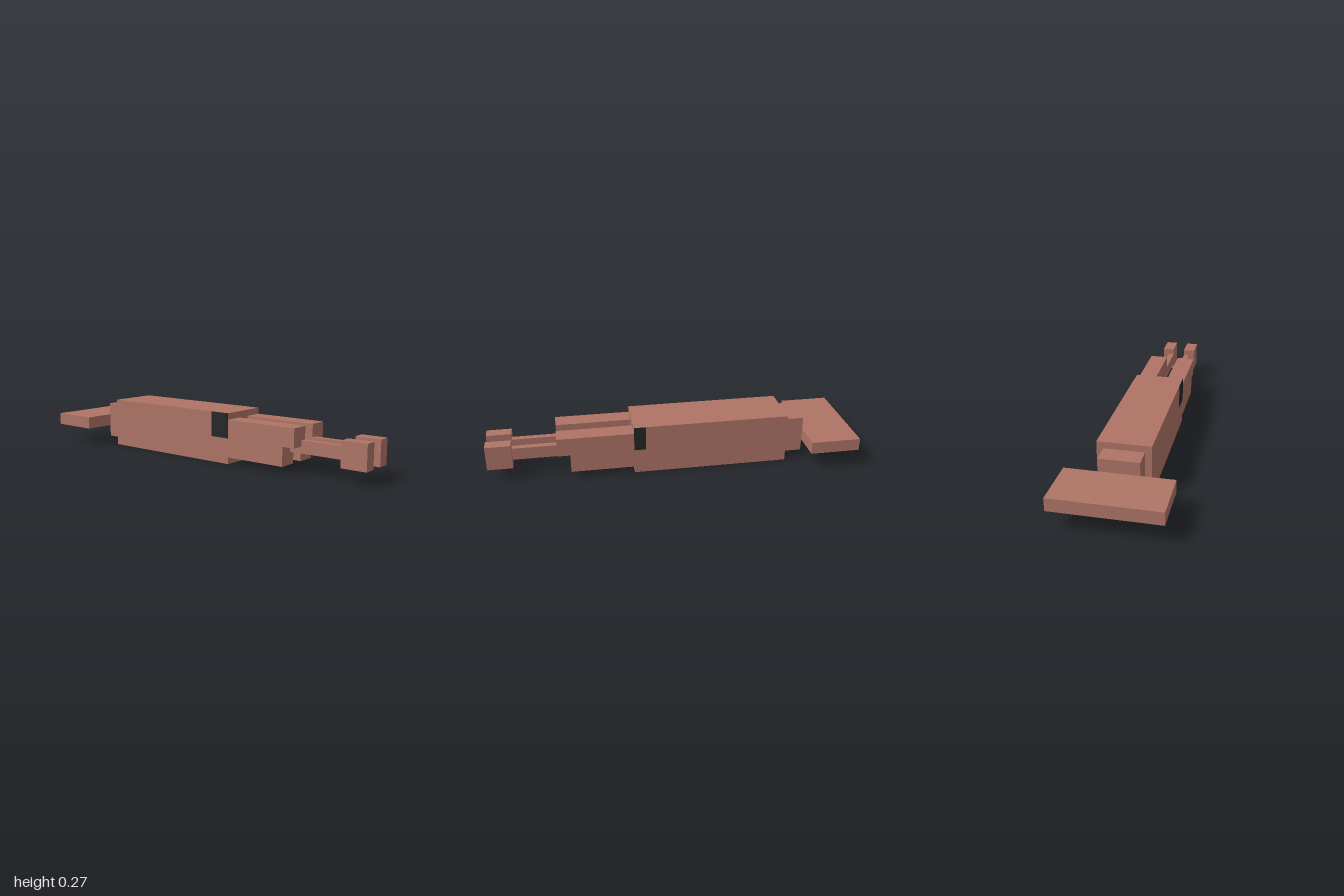
import * as THREE from 'three';

const shell = new THREE.MeshStandardMaterial({ name: 'shell', color: 0xae7466 });
const belly = new THREE.MeshStandardMaterial({ name: 'belly', color: 0x968a7a });
const eye = new THREE.MeshStandardMaterial({ name: 'eye', color: 0x232627 });

// shell box with a paler underside (face order: +x, -x, +y, -y, +z, -z)
const shellWithBelly = [shell, shell, shell, belly, shell, shell];

// Box given by its [min, max] range on each axis
function box(name, [x0, x1], [y0, y1], [z0, z1], material) {
  const geometry = new THREE.BoxGeometry(x1 - x0, y1 - y0, z1 - z0);
  const mesh = new THREE.Mesh(geometry, material);
  mesh.position.set((x0 + x1) / 2, (y0 + y1) / 2, (z0 + z1) / 2);
  mesh.name = name;
  return mesh;
}

export function createModel() {
  const model = new THREE.Group();
  model.name = 'crustacean';

  // Body, tail joint and tail fan
  model.add(
    box('body', [-0.135, 0.135], [0, 0.271], [-0.628, 0.218], shellWithBelly),
    box('tailJoint', [-0.101, 0.101], [0.036, 0.237], [-0.73, -0.628], shellWithBelly),
    box('tailFan', [-0.27, 0.27], [0.102, 0.169], [-1, -0.73], shellWithBelly),
    box('mouthPatch', [-0.1, 0.1], [-0.001, 0.001], [0.085, 0.19], shell),
  );

  // Eye plates on the sides of the head; the right one is longer
  model.add(
    box('rightEye', [-0.137, -0.134], [0.138, 0.271], [0.108, 0.218], eye),
    box('leftEye', [0.134, 0.137], [0.138, 0.271], [0.155, 0.218], eye),
  );

  // Front limbs: stepped claw arm, thin rod and end block on each side
  for (const [side, s] of [['left', 1], ['right', -1]]) {
    const limb = new THREE.Group();
    limb.name = side + 'Limb';
    const span = (a, b) => (s > 0 ? [a, b] : [-b, -a]);
    limb.add(
      box('upperArm', span(0.035, 0.135), [0.137, 0.237], [0.218, 0.627], shell),
      box('lowerArm', span(0.035, 0.135), [0.036, 0.137], [0.218, 0.56], shell),
      box('rod', span(0.035, 0.068), [0.102, 0.169], [0.56, 0.865], shell),
      box('endBlock', span(0.035, 0.101), [0.069, 0.203], [0.865, 1], shell),
    );
    model.add(limb);
  }
  return model;
}
